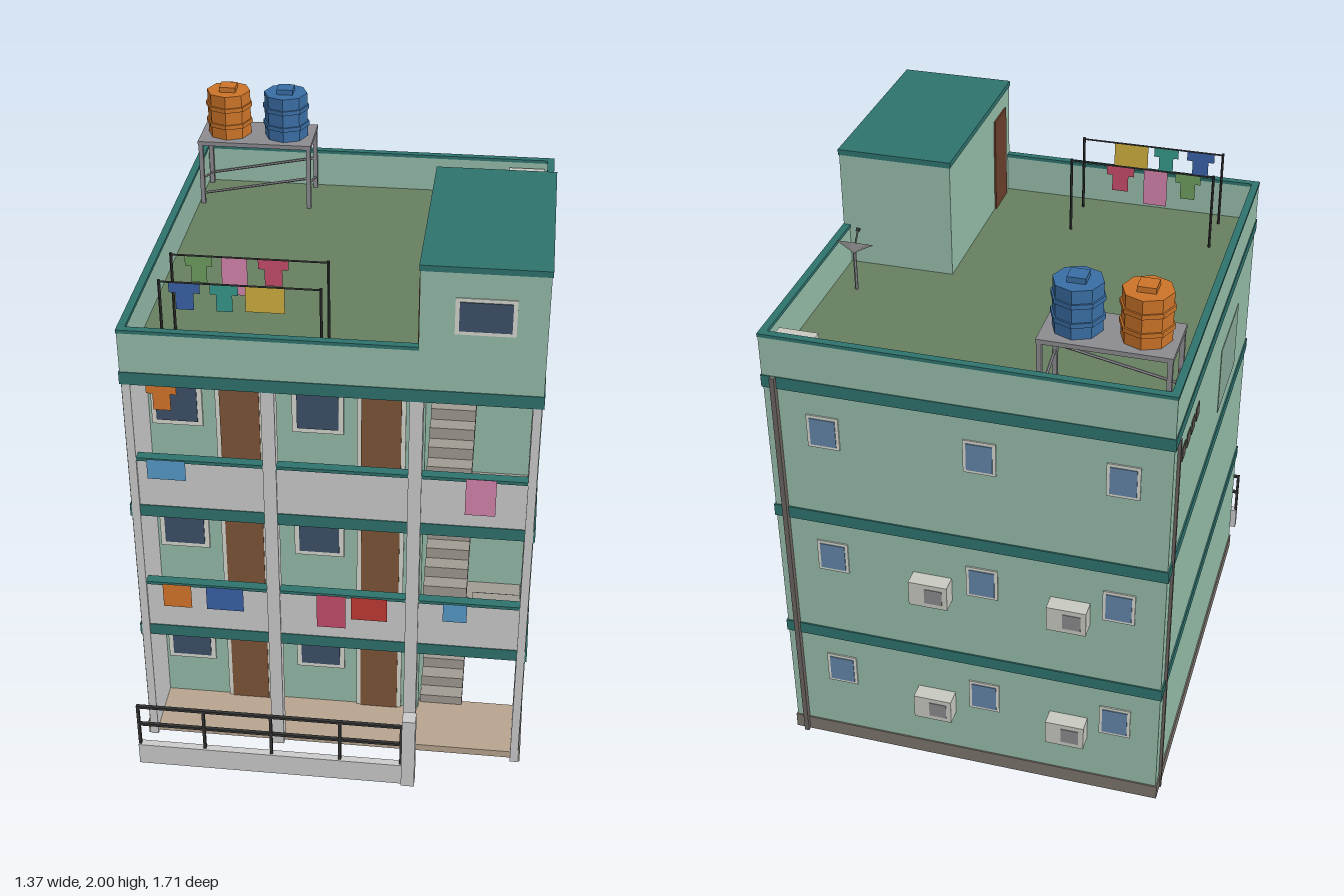
import * as THREE from 'three';

const C = {
  wall: 0x96bdaa, teal: 0x2f736e, plaster: 0xd9d9d6, plinth: 0x7d756d, tan: 0xb8a58f, door: 0x7f5539,
  glass: 0x3d5068, backGlass: 0x6485a8, frame: 0xd5d8cf, pipe: 0x6b6460, roof: 0x67805f, stair: 0xa09b93,
  metal: 0x8b8b90, dark: 0x333333, orange: 0xcc7428, blue: 0x3a6ea5, unit: 0xc8cac2, vent: 0x5c564f, panel: 0x88a998,
};
const STOREY = 0.515;
const mats = new Map();

function mat(color, double = false) {
  const key = color + (double ? 'd' : '');
  if (!mats.has(key)) {
    mats.set(key, new THREE.MeshStandardMaterial({
      color, flatShading: true, side: double ? THREE.DoubleSide : THREE.FrontSide }));
  }
  return mats.get(key);
}

function add(parent, name, geometry, color, double) {
  const m = new THREE.Mesh(geometry, mat(color, double));
  m.name = name;
  parent.add(m);
  return m;
}

// Box given by its limits on each axis
function box(parent, name, color, x0, x1, y0, y1, z0, z1) {
  const m = add(parent, name, new THREE.BoxGeometry(x1 - x0, y1 - y0, z1 - z0), color);
  m.position.set((x0 + x1) / 2, (y0 + y1) / 2, (z0 + z1) / 2);
  return m;
}

// Thin round bar between two points
function rod(parent, name, color, a, b, r) {
  const p = new THREE.Vector3(...a), q = new THREE.Vector3(...b), d = q.clone().sub(p);
  const m = add(parent, name, new THREE.CylinderGeometry(r, r, d.length(), 6), color);
  m.position.copy(p).add(q).multiplyScalar(0.5);
  m.quaternion.setFromUnitVectors(new THREE.Vector3(0, 1, 0), d.normalize());
  return m;
}

// Hanging cloth, centred on x with its top edge at y
function cloth(parent, color, x, top, z, w, h, shirt = false) {
  const u = w / 2, b = w * 0.29, s = h * 0.38;
  const pts = shirt
    ? [[-u, 0], [-u, -s], [-b, -s], [-b, -h], [b, -h], [b, -s], [u, -s], [u, 0]]
    : [[-u, 0], [-u, -h], [u, -h], [u, 0]];
  const geo = new THREE.ShapeGeometry(new THREE.Shape(pts.map(p => new THREE.Vector2(...p))));
  add(parent, shirt ? 'hangingShirt' : 'hangingTowel', geo, color, true).position.set(x, top, z);
}

// Flight of steps: profile in (run, height), extruded across its width
function flight(parent, x0, x1, y, zStart, dir) {
  const n = 6, rise = 0.0433, run = 0.055, s = new THREE.Shape();
  s.moveTo(0, 0);
  for (let i = 0; i < n; i++) {
    s.lineTo(i * run, (i + 1) * rise);
    s.lineTo((i + 1) * run, (i + 1) * rise);
  }
  s.lineTo(n * run, (n - 1) * rise - 0.02);
  s.lineTo(run * 0.6, -0.02);
  s.lineTo(0, -0.02);
  const geo = new THREE.ExtrudeGeometry(s, { depth: x1 - x0, bevelEnabled: false });
  const m = add(parent, 'stairFlight', geo, C.stair);
  m.rotation.y = dir < 0 ? Math.PI / 2 : -Math.PI / 2;
  m.position.set(dir < 0 ? x0 : x1, y, zStart);
}

function buildShell(g) {
  for (const s of [-1, 1]) {
    const side = new THREE.Group();
    side.name = s < 0 ? 'rightSide' : 'leftSide';
    g.add(side);
    const sb = (name, color, a, b, ...r) => box(side, name, color, Math.min(s * a, s * b), Math.max(s * a, s * b), ...r);
    sb('sideWall', C.wall, 0.65, 0.675, 0, 1.55, -0.795, 0.685);
    sb('sidePlinth', C.plinth, 0.66, 0.68, 0, 0.057, -0.8, 0.687);
    for (const y of [0.47, 0.985, 1.505]) sb('sideBand', C.teal, 0.66, 0.68, y, y + 0.045, -0.8, 0.688);
    sb('sidePanel', C.panel, 0.67, 0.677, 1.095, 1.355, 0.05, 0.39);
    for (let i = 0; i < 4; i++) sb('ventBlock', C.vent, 0.67, 0.678, 1.375, 1.425, -0.435 - i * 0.0765, -0.383 - i * 0.0765);
    sb('drainPipe', C.pipe, 0.67, 0.685, 0, 1.51, -0.742, -0.727);
    sb('porchPier', C.plaster, 0.645, 0.673, 0, 1.505, 0.47, 0.69);
  }
  box(g, 'backWall', C.wall, -0.65, 0.65, 0, 1.55, -0.795, -0.77);
  box(g, 'backPlinth', C.plinth, -0.68, 0.68, 0, 0.057, -0.8, -0.78);
  for (const y of [0.47, 0.985, 1.505]) box(g, 'backBand', C.teal, -0.68, 0.68, y, y + 0.045, -0.8, -0.78);
  box(g, 'roomFrontWall', C.wall, -0.65, 0.295, 0, 1.55, 0.445, 0.47);
  box(g, 'stairSideWall', C.wall, 0.27, 0.295, 0, 1.55, -0.03, 0.445);
  box(g, 'stairBackWall', C.wall, 0.27, 0.65, 0, 1.55, -0.03, -0.005);
  box(g, 'backDrainPipe', C.pipe, 0.628, 0.645, 0, 1.55, -0.815, -0.79);

  // Rear windows and cooling units
  for (let i = 0; i < 3; i++) {
    for (const x of [0.48, -0.05, -0.52]) {
      const y = 0.33 + i * STOREY;
      box(g, 'rearWindowFrame', C.frame, x - 0.055, x + 0.055, y - 0.062, y + 0.062, -0.8, -0.79);
      box(g, 'rearWindowGlass', C.backGlass, x - 0.044, x + 0.044, y - 0.051, y + 0.051, -0.803, -0.79);
    }
    if (i < 2) for (const x of [-0.355, 0.125]) {
      const y = 0.225 + i * 0.52;
      box(g, 'coolingUnit', C.unit, x - 0.068, x + 0.068, y, y + 0.095, -0.853, -0.795);
      box(g, 'coolingGrille', C.metal, x - 0.05, x + 0.012, y + 0.018, y + 0.077, -0.855, -0.84);
    }
  }
}

function buildFront(g) {
  box(g, 'porchFloor', C.tan, -0.65, 0.65, 0, 0.028, 0.42, 0.67);
  for (const x of [-0.2, 0.278]) box(g, 'frontColumn', C.plaster, x - 0.022, x + 0.022, 0, 1.505, 0.645, 0.69);
  const bays = [[-0.648, -0.222], [-0.178, 0.256], [0.3, 0.648]];
  for (let i = 0; i < 3; i++) {
    const y = i * STOREY;
    // Doors and windows of two flats
    for (const x of [0, 0.48]) {
      box(g, 'windowFrame', C.frame, x - 0.635, x - 0.46, y + 0.195, y + 0.383, 0.46, 0.478);
      box(g, 'windowGlass', C.glass, x - 0.618, x - 0.477, y + 0.213, y + 0.365, 0.46, 0.482);
      box(g, 'doorFrame', C.frame, x - 0.415, x - 0.25, y + 0.01, y + 0.388, 0.46, 0.478);
      box(g, 'door', C.door, x - 0.4, x - 0.265, y + 0.01, y + 0.37, 0.46, 0.482);
    }
    // Stairs turning back at a half landing
    flight(g, 0.3, 0.455, y + 0.02, 0.44, -1);
    box(g, 'halfLanding', C.stair, 0.296, 0.648, y + 0.24, y + 0.265, -0.005, 0.112);
    flight(g, 0.475, 0.645, y + 0.262, 0.11, 1);
    if (!i) continue;
    box(g, 'balconySlab', C.plaster, -0.65, 0.65, y - 0.04, y - 0.001, 0.44, 0.665);
    for (const [a, b] of bays) {
      box(g, 'balconyBand', C.teal, a, b, y - 0.045, y, 0.655, 0.685);
      box(g, 'balconyParapet', C.plaster, a, b, y, y + 0.185, 0.66, 0.682);
      box(g, 'balconyCap', C.teal, a, b, y + 0.18, y + 0.192, 0.653, 0.688);
    }
  }
  box(g, 'topFrontBand', C.teal, -0.68, 0.68, 1.505, 1.55, 0.655, 0.69);
  box(g, 'porchCeiling', C.plaster, -0.65, 0.65, 1.51, 1.545, 0.44, 0.66);

  // Laundry over the balconies: colour, x, top, width, height
  for (const [c, x, t, w, h] of [
    [0x559bc8, -0.545, 1.222, 0.13, 0.077], [0xd684ac, 0.495, 1.225, 0.1, 0.142],
    [0xd9772b, -0.537, 0.704, 0.1, 0.096], [0x3a62a8, -0.37, 0.704, 0.13, 0.096],
    [0xc84d6c, 0, 0.704, 0.1, 0.138], [0xc23b35, 0.132, 0.704, 0.124, 0.096], [0x559bc8, 0.426, 0.704, 0.082, 0.076],
  ]) cloth(g, c, x, t, 0.693, w, h);
  cloth(g, 0xd9772b, -0.548, 1.505, 0.675, 0.1, 0.098, true);
}

function buildFence(g) {
  box(g, 'fenceBase', C.plaster, -0.68, 0.27, 0, 0.086, 0.818, 0.845);
  box(g, 'gatePost', C.plaster, 0.265, 0.312, 0, 0.302, 0.803, 0.855);
  for (const y of [0.177, 0.257]) box(g, 'fenceRail', C.dark, -0.68, 0.27, y - 0.005, y + 0.005, 0.826, 0.838);
  for (const x of [-0.675, -0.44, -0.2, 0.045, 0.262]) box(g, 'fencePost', C.dark, x - 0.005, x + 0.005, 0.08, 0.26, 0.826, 0.838);
}

function buildRoof(g) {
  box(g, 'roofDeck', C.roof, -0.66, 0.66, 1.54, 1.56, -0.78, 0.67);
  for (const [x0, x1, z0, z1] of [[-0.677, -0.655, -0.797, 0.687], [-0.655, 0.655, -0.797, -0.775],
    [0.655, 0.677, -0.797, -0.03], [-0.655, 0.28, 0.665, 0.687]]) {
    box(g, 'roofParapet', C.wall, x0, x1, 1.549, 1.695, z0, z1);
    box(g, 'parapetCap', C.teal, x0 - 0.002, x1 + 0.002, 1.692, 1.704, z0 - 0.002, z1 + 0.002);
  }
  // Stair house
  box(g, 'stairHouse', C.wall, 0.28, 0.677, 1.549, 1.975, -0.03, 0.687);
  box(g, 'stairHouseRoof', C.teal, 0.277, 0.68, 1.97, 1.99, -0.033, 0.69);
  box(g, 'stairHouseWindowFrame', C.frame, 0.39, 0.58, 1.758, 1.885, 0.68, 0.69);
  box(g, 'stairHouseWindow', C.glass, 0.403, 0.567, 1.771, 1.872, 0.68, 0.693);
  box(g, 'stairHouseDoor', 0x6b3f2a, 0.274, 0.285, 1.56, 1.91, 0.49, 0.63);
  box(g, 'roofUnit', C.unit, 0.51, 0.645, 1.575, 1.675, -0.76, -0.7);

  // Tank stand
  const X = [-0.64, -0.235], Z = [-0.755, -0.565];
  box(g, 'standTop', C.metal, -0.65, -0.225, 1.797, 1.813, -0.765, -0.555);
  for (const x of X) {
    for (const z of Z) box(g, 'standLeg', C.metal, x - 0.008, x + 0.008, 1.56, 1.8, z - 0.008, z + 0.008);
    rod(g, 'standBrace', C.metal, [x, 1.6, Z[0]], [x, 1.66, Z[1]], 0.005);
  }
  for (const z of Z) rod(g, 'standBrace', C.metal, [X[0], 1.6, z], [X[1], 1.68, z], 0.005);

  // Water tanks
  for (const [x, c] of [[-0.545, C.orange], [-0.33, C.blue]]) {
    const tank = new THREE.Group();
    tank.name = 'waterTank';
    tank.position.set(x, 1.813, -0.66);
    g.add(tank);
    add(tank, 'tankBody', new THREE.CylinderGeometry(0.081, 0.081, 0.168, 8), c).position.y = 0.084;
    for (const y of [0.05, 0.115]) add(tank, 'tankRib', new THREE.CylinderGeometry(0.087, 0.087, 0.016, 8), c).position.y = y;
    box(tank, 'tankLid', c, -0.03, 0.03, 0.16, 0.187, -0.03, 0.03);
  }

  // Clotheslines
  for (const z of [0.41, 0.597]) {
    for (const x of [-0.55, -0.035]) rod(g, 'linePost', C.dark, [x, 1.55, z], [x, 1.842, z], 0.005);
    rod(g, 'clothesLine', C.dark, [-0.55, 1.836, z], [-0.035, 1.836, z], 0.003);
  }
  cloth(g, 0x3a62a8, -0.47, 1.836, 0.597, 0.1, 0.096, true);
  cloth(g, 0x379a8c, -0.343, 1.836, 0.597, 0.09, 0.096, true);
  cloth(g, 0xd0b040, -0.213, 1.836, 0.597, 0.125, 0.092);
  cloth(g, 0x6f9e5f, -0.46, 1.836, 0.41, 0.09, 0.096, true);
  cloth(g, 0xd684ac, -0.343, 1.836, 0.41, 0.085, 0.136);
  cloth(g, 0xc84d6c, -0.215, 1.836, 0.41, 0.1, 0.096, true);

  // Satellite dish: shallow open cone tilted upwards
  const dish = new THREE.Group();
  dish.name = 'satelliteDish';
  dish.position.set(0.568, 1.72, -0.215);
  dish.rotation.x = 0.53;
  g.add(dish);
  const bowl = add(dish, 'dishBowl', new THREE.ConeGeometry(0.065, 0.035, 6, 1, true), 0xcccccc, true);
  bowl.rotation.x = Math.PI;
  rod(dish, 'dishArm', C.dark, [0, -0.015, 0], [0, 0.065, 0.015], 0.003);
  box(dish, 'dishReceiver', C.dark, -0.006, 0.006, 0.058, 0.07, 0.009, 0.021);
  rod(g, 'dishPole', C.metal, [0.568, 1.55, -0.215], [0.568, 1.71, -0.215], 0.006);
}

export function createModel() {
  const model = new THREE.Group();
  model.name = 'apartmentBlock';
  const parts = { shell: buildShell, frontGallery: buildFront, frontFence: buildFence, rooftop: buildRoof };
  for (const [name, build] of Object.entries(parts)) {
    const g = new THREE.Group();
    g.name = name;
    build(g);
    model.add(g);
  }
  return model;
}
